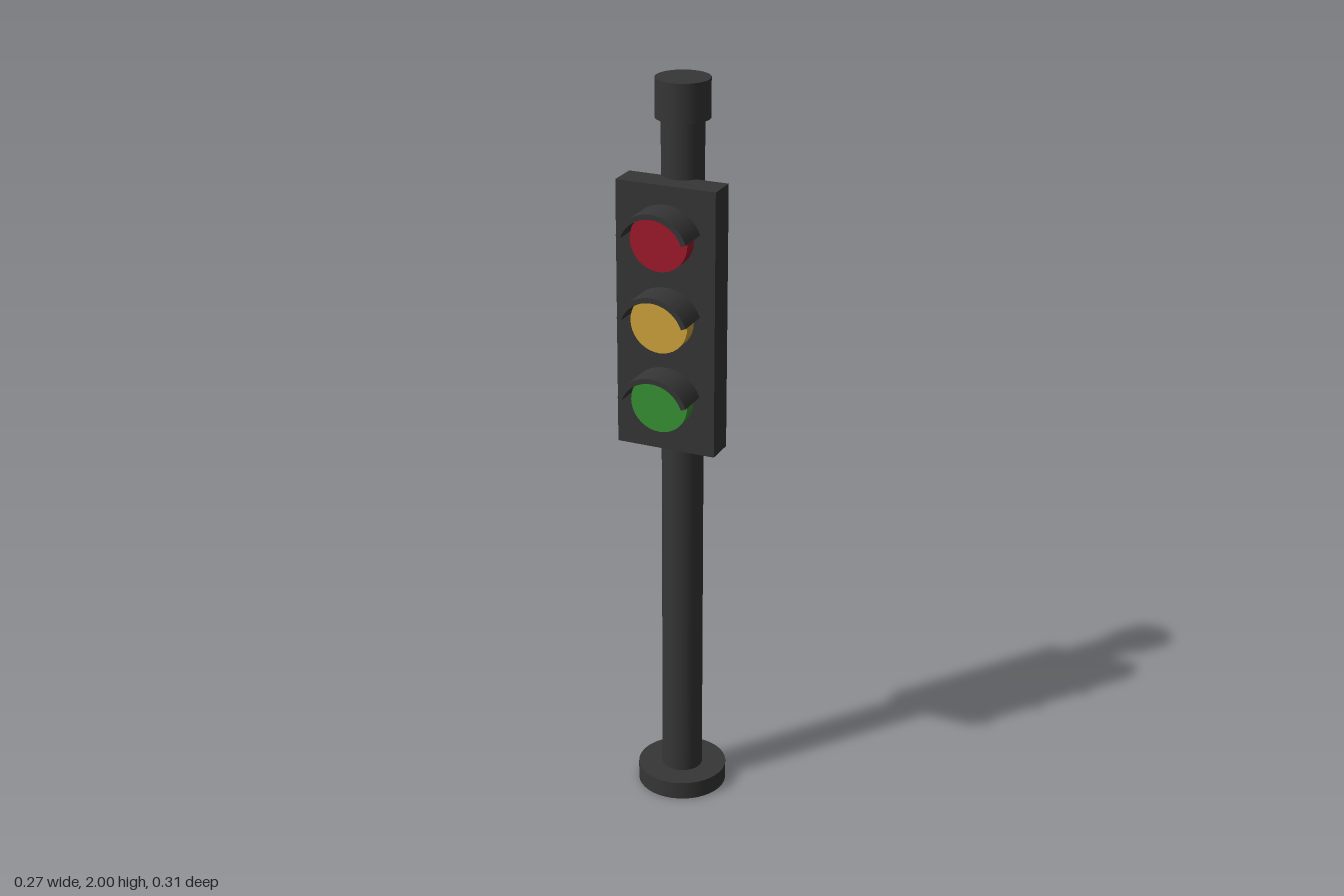
import * as THREE from 'three';

const POLE_Z = -0.037;

export function createModel() {
  const model = new THREE.Group();
  model.name = 'trafficLight';
  const dark = new THREE.MeshStandardMaterial({ color: 0x363636 });

  const add = (name, geometry, material, x, y, z) => {
    const mesh = new THREE.Mesh(geometry, material);
    mesh.name = name;
    mesh.position.set(x, y, z);
    model.add(mesh);
    return mesh;
  };

  // Upright cylinder on the pole axis, from y0 to y1
  const post = (name, r, y0, y1) =>
    add(name, new THREE.CylinderGeometry(r, r, y1 - y0, 40), dark, 0, (y0 + y1) / 2, POLE_Z);
  post('base', 0.121, 0, 0.05);
  post('pole', 0.055, 0.05, 1.9);
  post('cap', 0.07, 1.9, 2);

  // Signal housing
  add('housing', new THREE.BoxGeometry(0.27, 0.704, 0.08), dark, 0, 1.402, 0.03);

  // Curved visor: an arc band extruded forward
  const sweep = THREE.MathUtils.degToRad(70);
  const a0 = Math.PI / 2 - sweep, a1 = Math.PI / 2 + sweep;
  const band = new THREE.Shape();
  band.absarc(0, 0, 0.1005, a0, a1, false);
  band.absarc(0, 0, 0.087, a1, a0, true);
  band.closePath();
  const visorGeometry = new THREE.ExtrudeGeometry(band, { depth: 0.088, bevelEnabled: false, curveSegments: 20 });

  // Lamp disc facing forward
  const lampGeometry = new THREE.CylinderGeometry(0.078, 0.078, 0.04, 36).rotateX(Math.PI / 2);

  const lamps = [['red', 0xa0182a, 1.622], ['amber', 0xd0a43c, 1.407], ['green', 0x389236, 1.192]];
  for (const [name, color, y] of lamps) {
    add(name + 'Lamp', lampGeometry, new THREE.MeshStandardMaterial({ color }), 0, y, 0.09);
    add(name + 'Visor', visorGeometry, dark, 0, y - 0.017, 0.069);
  }
  return model;
}
